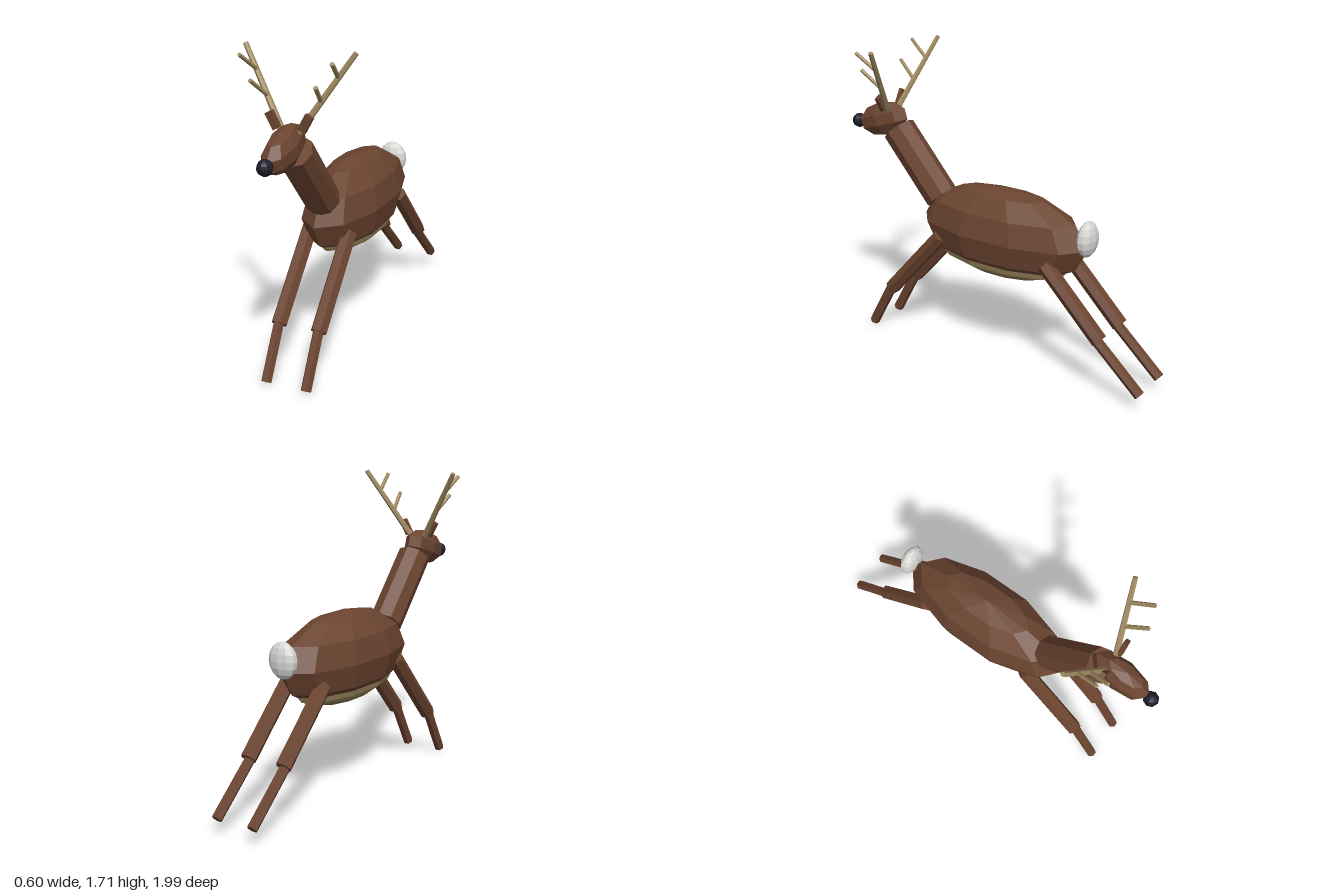
import * as THREE from 'three';

const mat = (name, color, flat = true) => {
  const m = new THREE.MeshStandardMaterial({ color, flatShading: flat });
  m.name = name;
  return m;
};

export function createModel() {
  const brown = mat('brown fur', 0x6b4430);
  const tan = mat('tan belly and antler', 0xa08a60);
  const dark = mat('dark nose', 0x1c1c2a);
  const white = mat('white tail', 0xd8d8d6);

  const deer = new THREE.Group();
  deer.name = 'deer';

  const add = (name, geometry, material, parent = deer) => {
    const mesh = new THREE.Mesh(geometry, material);
    mesh.name = name;
    parent.add(mesh);
    return mesh;
  };

  // Faceted ellipsoid whose first vertex column lies on the z axis
  const ellipsoid = (name, material, [rx, ry, rz], pos, cols, rows, tilt = 0) => {
    const g = new THREE.SphereGeometry(1, cols, rows).rotateY(Math.PI / 2);
    g.scale(rx, ry, rz).rotateX(tilt);
    const mesh = add(name, g, material);
    mesh.position.set(...pos);
    return mesh;
  };

  // Straight limb between two points; spin turns its facets about its axis
  const limb = (name, material, a, b, ra, rb, sides, parent = deer, spin = 0) => {
    const from = new THREE.Vector3(...a), to = new THREE.Vector3(...b);
    const dir = to.clone().sub(from);
    const g = new THREE.CylinderGeometry(rb, ra, dir.length(), sides).rotateY(spin);
    const mesh = add(name, g, material, parent);
    mesh.position.copy(from).add(to).multiplyScalar(0.5);
    mesh.quaternion.setFromUnitVectors(new THREE.Vector3(0, 1, 0), dir.normalize());
    return mesh;
  };

  // Trunk, belly patch and tail
  ellipsoid('body', brown, [0.205, 0.255, 0.53], [0, 0.76, -0.05], 10, 6);
  ellipsoid('belly', tan, [0.17, 0.137, 0.44], [0, 0.645, -0.05], 10, 6);
  ellipsoid('tail', white, [0.085, 0.098, 0.048], [0, 0.832, -0.58], 10, 8);

  // Neck, head and nose
  limb('neck', brown, [0, 0.875, 0.364], [0, 1.225, 0.665], 0.094, 0.094, 8);
  ellipsoid('head', brown, [0.08, 0.0965, 0.182], [0, 1.268, 0.775], 8, 5, 0.297);
  ellipsoid('nose', dark, [0.041, 0.041, 0.041], [0, 1.23, 0.96], 8, 8);

  for (const s of [1, -1]) {
    const side = s > 0 ? 'left' : 'right';

    // Legs stretched in a leap
    const leg = (which, hip, knee, kneeLow, foot) => {
      const group = new THREE.Group();
      group.name = `${side} ${which} leg`;
      deer.add(group);
      const at = ([y, z]) => [s * 0.113, y, z];
      limb('upper leg', brown, at(hip), at(knee), 0.044, 0.044, 6, group, Math.PI / 2);
      limb('lower leg', brown, at(kneeLow), at(foot), 0.029, 0.029, 6, group, Math.PI / 2);
    };
    leg('front', [0.69, 0.29], [0.28, 0.66], [0.30, 0.655], [0.02, 0.81]);
    leg('hind', [0.68, -0.39], [0.335, -0.73], [0.34, -0.705], [0.093, -0.975]);

    // Ear
    const ear = add(`${side} ear`, new THREE.BoxGeometry(0.042, 0.09, 0.024), brown);
    ear.position.set(s * 0.086, 1.385, 0.716);
    ear.rotation.z = -s * 0.51;

    // Antler: a main beam with two forward tines
    const antler = new THREE.Group();
    antler.name = `${side} antler`;
    deer.add(antler);
    limb('beam', tan, [s * 0.045, 1.335, 0.705], [s * 0.292, 1.715, 0.597], 0.017, 0.013, 6, antler);
    limb('lower tine', tan, [s * 0.141, 1.485, 0.663], [s * 0.17, 1.58, 0.777], 0.011, 0.011, 6, antler);
    limb('upper tine', tan, [s * 0.215, 1.6, 0.63], [s * 0.24, 1.69, 0.748], 0.011, 0.011, 6, antler);
  }

  return deer;
}
